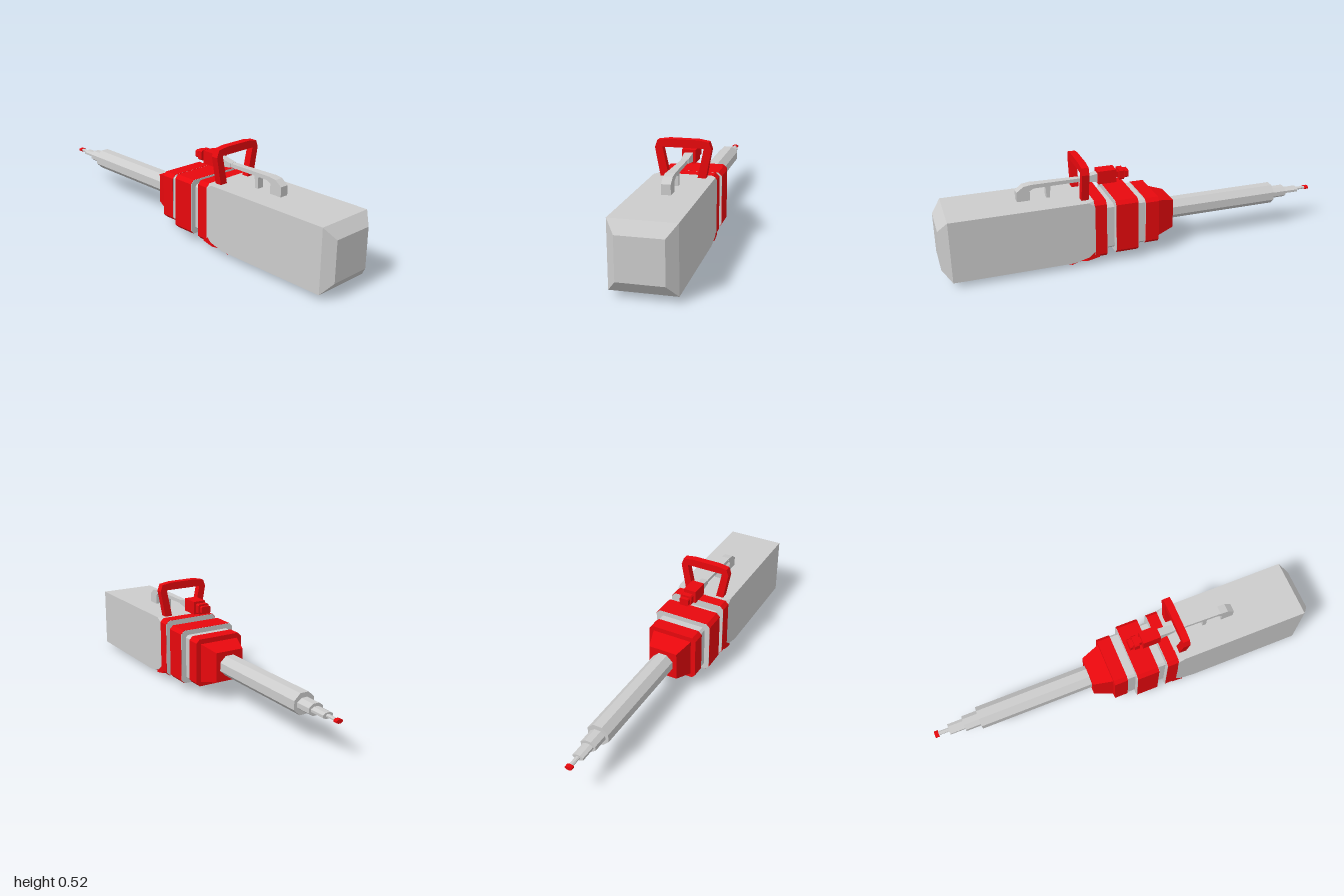
import * as THREE from 'three';

const grey = new THREE.MeshStandardMaterial({ color: 0xcccccc, flatShading: true });
const red = new THREE.MeshStandardMaterial({ color: 0xe8080d, flatShading: true });

// Skin a list of closed rings with end caps; rings run counter-clockwise seen from the first end.
function skin(rings) {
  const pos = [];
  const ab = new THREE.Vector3(), ac = new THREE.Vector3();
  const tri = (a, b, c) => {
    ab.subVectors(b, a); ac.subVectors(c, a);
    if (ab.cross(ac).length() > 1e-9) for (const p of [a, b, c]) pos.push(p.x, p.y, p.z);
  };
  const n = rings[0].length;
  for (let i = 0; i < rings.length - 1; i++) {
    const f = rings[i], r = rings[i + 1];
    for (let j = 0; j < n; j++) {
      const k = (j + 1) % n;
      tri(f[j], r[j], r[k]);
      tri(f[j], r[k], f[k]);
    }
  }
  const first = rings[0], last = rings[rings.length - 1];
  for (let j = 1; j < n - 1; j++) {
    tri(first[0], first[j], first[j + 1]);
    tri(last[0], last[j + 1], last[j]);
  }
  const g = new THREE.BufferGeometry();
  g.setAttribute('position', new THREE.Float32BufferAttribute(pos, 3));
  g.computeVertexNormals();
  return g;
}

// Rectangle with cut corners: [z, half width, bottom, top, corner cut]
function section([z, w, b, t, c = 0]) {
  return [
    [w - c, b], [w, b + c], [w, t - c], [w - c, t],
    [c - w, t], [-w, t - c], [-w, b + c], [c - w, b],
  ].map(([x, y]) => new THREE.Vector3(x, y, z));
}
const loft = (...rows) => skin(rows.map(section));

// Side outline given as [z, y], extruded across x.
function sideProfile(points, width) {
  const s = new THREE.Shape(points.map(([z, y]) => new THREE.Vector2(z, y)));
  const g = new THREE.ExtrudeGeometry(s, { depth: width, bevelEnabled: false });
  g.translate(0, 0, -width / 2);
  g.rotateY(-Math.PI / 2);
  return g;
}

export function createModel() {
  const model = new THREE.Group();
  const add = (name, geometry, material) => {
    const m = new THREE.Mesh(geometry, material);
    m.name = name;
    model.add(m);
  };

  // Main housing with a bevelled front
  add('housing', loft(
    [1, 0.106, 0.083, 0.282], [0.955, 0.15, 0.027, 0.337],
    [0.37, 0.15, 0.027, 0.337], [0.29, 0.15, 0.047, 0.337],
    [0.258, 0.15, 0.055, 0.337, 0.02]), grey);

  // Tapered tray under the housing
  const quad = (y, w, front, back) => [[w, front], [w, back], [-w, back], [-w, front]]
    .map(([x, z]) => new THREE.Vector3(x, y, z));
  add('bottomTray', skin([quad(0.028, 0.118, 0.93, 0.37), quad(0, 0.102, 0.885, 0.388)]), grey);

  // Sloped red brace and the plate set into it
  add('lowerBrace', loft(
    [0.39, 0.101, 0, 0.002], [0.37, 0.115, 0.001, 0.03], [0.33, 0.117, 0.016, 0.045],
    [0.3, 0.149, 0.028, 0.06], [0.24, 0.149, 0.04, 0.08]), red);
  add('lowerPlate', sideProfile(
    [[0.355, 0.001], [0.355, 0.03], [0.3, 0.07], [0.2, 0.07], [0.2, 0.027], [0.3, 0.027]], 0.22), grey);

  // Neck and its red collars, each lined with grey that shows at the ends
  add('neck', loft([0.23, 0.125, 0.065, 0.3, 0.012], [-0.03, 0.125, 0.065, 0.3, 0.012]), grey);
  const collars = [
    ['rearCollar', 0.26, 0.2, 0.15, 0.036, 0.337],
    ['middleCollar', 0.152, 0.038, 0.153, 0.044, 0.325],
    ['frontCollar', -0.008, -0.078, 0.131, 0.06, 0.305],
  ];
  for (const [name, z0, z1, w, b, t] of collars) {
    add(name, loft([z0, w, b, t, 0.018], [z1, w, b, t, 0.018]), red);
    const end = name === 'frontCollar' ? z1 + 0.01 : z1 - 0.002;
    const inner = [w - 0.001, b + 0.001, t - 0.001, 0.018];
    add(name + 'Lining', loft([z0 + 0.002, ...inner], [end, ...inner]), grey);
  }
  add('nose', loft([-0.07, 0.108, 0.08, 0.282], [-0.175, 0.076, 0.105, 0.255]), red);

  // Stepped eight-sided barrel: [name, z start, z end, x radius, y radius, material]
  const steps = [
    ['barrel', -0.16, -0.767, 0.054, 0.051, grey],
    ['barrelStep', -0.76, -0.847, 0.038, 0.028, grey],
    ['barrelTip', -0.84, -0.926, 0.027, 0.014, grey],
    ['needle', -0.92, -0.985, 0.01, 0.007, grey],
    ['needleTip', -0.98, -1, 0.017, 0.009, red],
  ];
  const k = 1 / Math.cos(Math.PI / 8);
  for (const [name, z0, z1, rx, ry, mat] of steps) {
    const g = new THREE.CylinderGeometry(1, 1, z0 - z1, 8);
    g.rotateY(Math.PI / 8);
    g.rotateX(Math.PI / 2);
    g.scale(rx * k, ry * k, 1);
    g.translate(0, 0.181, (z0 + z1) / 2);
    add(name, g, mat);
  }

  // Carrying handle
  const right = [[0.068, 0.33], [0.108, 0.33], [0.135, 0.475], [0.123, 0.509], [0.07, 0.517]];
  const left = right.map(([x, y]) => [-x, y]).reverse();
  const outline = [...right, ...left, [-0.099, 0.478], [0.099, 0.478]];
  const handle = new THREE.ExtrudeGeometry(
    new THREE.Shape(outline.map(p => new THREE.Vector2(...p))), { depth: 0.036, bevelEnabled: false });
  handle.translate(0, 0, 0.278);
  add('carryHandle', handle, red);

  // Sight arm: bent leg, narrowing rod, support post and flared end
  add('armLeg', sideProfile([
    [0.61, 0.33], [0.61, 0.385], [0.575, 0.411], [0.535, 0.417],
    [0.525, 0.396], [0.545, 0.385], [0.545, 0.33]], 0.044), grey);
  add('armRod', loft([0.54, 0.021, 0.396, 0.416], [0.27, 0.014, 0.396, 0.414]), grey);
  add('armPost', sideProfile([
    [0.472, 0.4], [0.464, 0.385], [0.464, 0.33], [0.446, 0.33], [0.442, 0.4]], 0.034), grey);
  add('armFlare', loft([0.285, 0.018, 0.395, 0.415], [0.2, 0.021, 0.383, 0.43]), grey);

  // Sight block and its end knobs
  add('sightBlock', loft([0.205, 0.033, 0.377, 0.443], [0.112, 0.033, 0.377, 0.443]), red);
  add('sightSpindle', loft([0.12, 0.016, 0.395, 0.425], [0.06, 0.016, 0.395, 0.425]), red);
  add('sightKnob', loft([0.095, 0.03, 0.385, 0.437, 0.006], [0.07, 0.03, 0.385, 0.437, 0.006]), red);
  add('sightCap', loft([0.064, 0.025, 0.392, 0.43, 0.005], [0.046, 0.025, 0.392, 0.43, 0.005]), red);

  return model;
}
